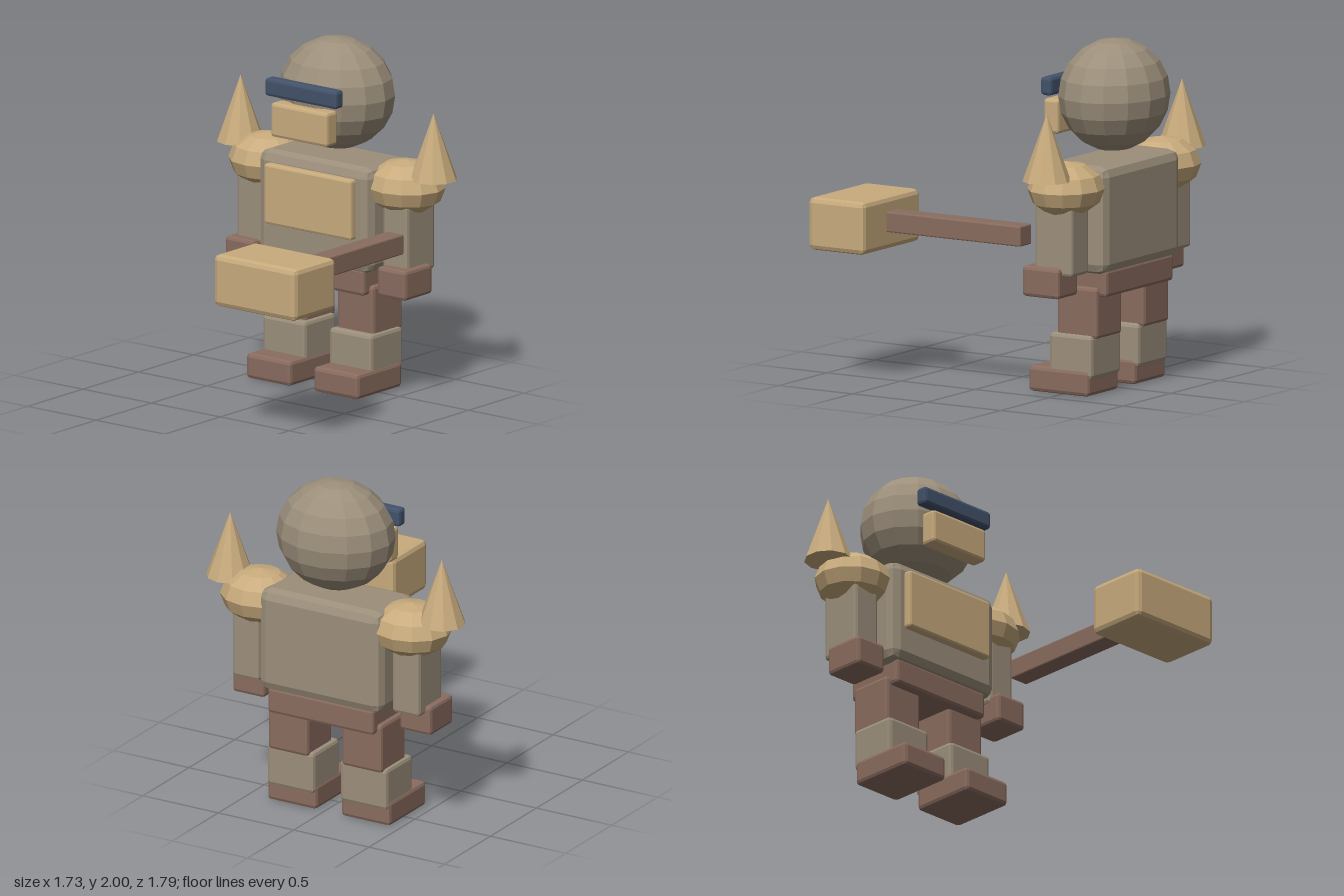
import * as THREE from 'three';

const mat = (name, color) => {
  const m = new THREE.MeshStandardMaterial({ color });
  m.name = name;
  return m;
};

// Give every triangle its own flat normal
const faceted = (geo) => {
  const g = geo.index ? geo.toNonIndexed() : geo;
  g.computeVertexNormals();
  return g;
};

// Box with a two-step bevel of radius r, spanning the given ranges
function bevelBox([x0, x1], [y0, y1], [z0, z1], r) {
  const geo = new THREE.BoxGeometry(2, 2, 2, 3, 3, 3);
  const half = new THREE.Vector3(x1 - x0, y1 - y0, z1 - z0).multiplyScalar(0.5);
  const p = geo.attributes.position;
  const v = new THREE.Vector3(), dir = new THREE.Vector3();
  const outer = (c) => (Math.abs(c) > 0.6 ? Math.sign(c) : 0);
  for (let i = 0; i < p.count; i++) {
    v.fromBufferAttribute(p, i);
    dir.set(outer(v.x), outer(v.y), outer(v.z)).normalize().multiplyScalar(r);
    p.setXYZ(i,
      Math.sign(v.x) * (half.x - r) + dir.x,
      Math.sign(v.y) * (half.y - r) + dir.y,
      Math.sign(v.z) * (half.z - r) + dir.z);
  }
  geo.translate((x0 + x1) / 2, (y0 + y1) / 2, (z0 + z1) / 2);
  return faceted(geo);
}

// Faceted ellipsoid
function ball(radii, cols, rows) {
  return faceted(new THREE.SphereGeometry(1, cols, rows).scale(...radii));
}

export function createModel() {
  const taupe = mat('taupe armour', 0x9c8f7b);
  const tan = mat('tan plating', 0xc8ab7d);
  const brown = mat('brown leather', 0x8a6c5f);
  const navy = mat('dark blue visor', 0x42526a);

  const model = new THREE.Group();
  model.name = 'armouredFigure';
  const add = (name, geo, material, parent = model) => {
    const m = new THREE.Mesh(geo, material);
    m.name = name;
    parent.add(m);
    return m;
  };

  // The body stands a little off centre
  const body = new THREE.Group();
  body.name = 'body';
  body.position.x = -0.034;
  model.add(body);

  // Torso, chest plate and belt
  add('torso', bevelBox([-0.408, 0.408], [0.705, 1.325], [-0.79, -0.37], 0.06), taupe, body);
  add('chestPlate', bevelBox([-0.318, 0.318], [0.908, 1.26], [-0.42, -0.325], 0.015), tan, body);
  add('belt', bevelBox([-0.35, 0.35], [0.572, 0.73], [-0.77, -0.4], 0.02), brown, body);

  // Head, visor and jaw
  add('head', ball([0.352, 0.323, 0.303], 14, 10), taupe, body).position.set(0, 1.677, -0.595);
  add('visor', bevelBox([-0.261, 0.261], [1.677, 1.783], [-0.335, -0.262], 0.018), navy, body);
  add('jaw', bevelBox([-0.206, 0.206], [1.45, 1.65], [-0.348, -0.247], 0.018), tan, body);

  // Limbs, mirrored about the body's middle
  for (const s of [1, -1]) {
    const side = s > 0 ? 'left' : 'right';
    const span = (a, b) => (s > 0 ? [a, b] : [-b, -a]);
    const limb = (name, x, y, z, r, m) => add(side + name, bevelBox(span(...x), y, z, r), m, body);

    limb('Thigh', [0.112, 0.378], [0.33, 0.625], [-0.722, -0.452], 0.02, brown);
    limb('Shin', [0.087, 0.398], [0.1, 0.35], [-0.7, -0.41], 0.022, taupe);
    limb('Foot', [0.082, 0.407], [0, 0.147], [-0.68, -0.275], 0.022, brown);
    limb('Arm', [0.44, 0.622], [0.72, 1.2], [-0.712, -0.457], 0.02, taupe);
    limb('Hand', [0.449, 0.658], [0.593, 0.768], [-0.645, -0.395], 0.02, brown);

    // Shoulder guard with its spike
    add(side + 'ShoulderGuard', ball([0.237, 0.158, 0.214], 12, 6), tan, body)
      .position.set(s * 0.5, 1.207, -0.595);
    add(side + 'ShoulderSpike', faceted(new THREE.ConeGeometry(0.138, 0.385, 10)), tan, body)
      .position.set(s * 0.702, 1.472, -0.595);
  }

  // Hammer held out in front of the left hand
  const hammer = new THREE.Group();
  hammer.name = 'hammer';
  model.add(hammer);
  add('hammerHandle', bevelBox([0.5, 0.622], [0.873, 0.99], [-0.385, 0.56], 0.008), brown, hammer);
  add('hammerHead', bevelBox([0.265, 0.862], [0.77, 1.073], [0.518, 0.895], 0.03), tan, hammer);

  return model;
}
